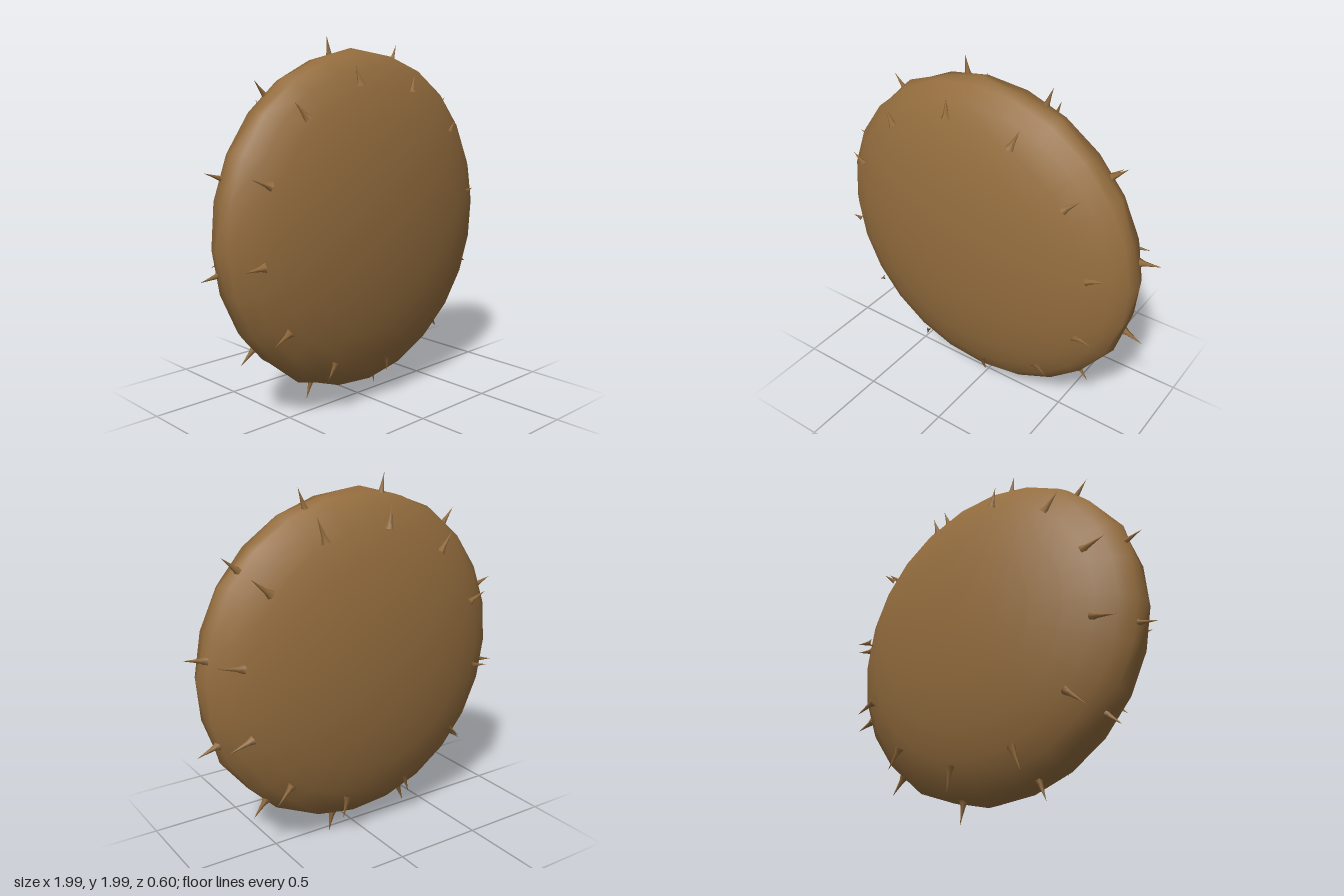
import * as THREE from 'three';

const brown = new THREE.MeshStandardMaterial({ color: 0x946d3e });
brown.name = 'warm brown';

// Flattened lens-shaped shell, poles on the z axis
function makeShell() {
  const geometry = new THREE.SphereGeometry(1, 24, 14);
  geometry.rotateX(Math.PI / 2);
  const p = geometry.attributes.position;
  for (let i = 0; i < p.count; i++) {
    // every second rim vertex sits slightly inward, giving a twelve-cornered rim
    const step = Math.round(Math.atan2(p.getY(i), p.getX(i)) / (Math.PI / 12));
    if (Math.abs(p.getZ(i)) < 0.01 && step % 2 !== 0) {
      p.setXY(i, p.getX(i) * 0.98, p.getY(i) * 0.98);
    }
  }
  geometry.scale(0.926, 0.926, 0.298);
  geometry.rotateZ(THREE.MathUtils.degToRad(2.5));
  const shell = new THREE.Mesh(geometry, brown);
  shell.name = 'shell';
  shell.position.set(-0.01, 1.005, 0);
  return shell;
}

// Thin thorn of unit height with a flared foot
const thornProfile = [[0.026, 0], [0.014, 0.25], [0.007, 0.6], [0, 1]]
  .map(([r, y]) => new THREE.Vector2(r, y));
const thornGeometry = new THREE.LatheGeometry(thornProfile, 5);

// Ring of twelve thorns reaching outward from the shell
function makeThornRing({ name, centerX, startAngle, base, tip }) {
  const ring = new THREE.Group();
  ring.name = name;
  ring.position.set(centerX, 1, 0);
  const up = new THREE.Vector3(0, 1, 0);
  for (let i = 0; i < 12; i++) {
    const a = THREE.MathUtils.degToRad(startAngle + i * 30);
    const at = ([r, z]) => new THREE.Vector3(r * Math.cos(a), r * Math.sin(a), z);
    const from = at(base);
    const along = at(tip).sub(from);
    const thorn = new THREE.Mesh(thornGeometry, brown);
    thorn.name = 'thorn';
    thorn.position.copy(from);
    thorn.scale.y = along.length();
    thorn.quaternion.setFromUnitVectors(up, along.normalize());
    ring.add(thorn);
  }
  return ring;
}

export function createModel() {
  const model = new THREE.Group();
  model.name = 'thornyDisc';
  model.add(makeShell());

  // base and tip are [radius, z]
  const rings = [
    { name: 'rimThorns', centerX: 0, startAngle: 10.2, base: [0.885, -0.045], tip: [1.012, -0.045] },
    { name: 'frontThorns', centerX: -0.035, startAngle: 8, base: [0.745, 0.172], tip: [0.85, 0.15] },
    { name: 'backThorns', centerX: 0.015, startAngle: 10, base: [0.735, -0.183], tip: [0.875, -0.174] },
  ];
  rings.forEach((ring) => model.add(makeThornRing(ring)));
  return model;
}
